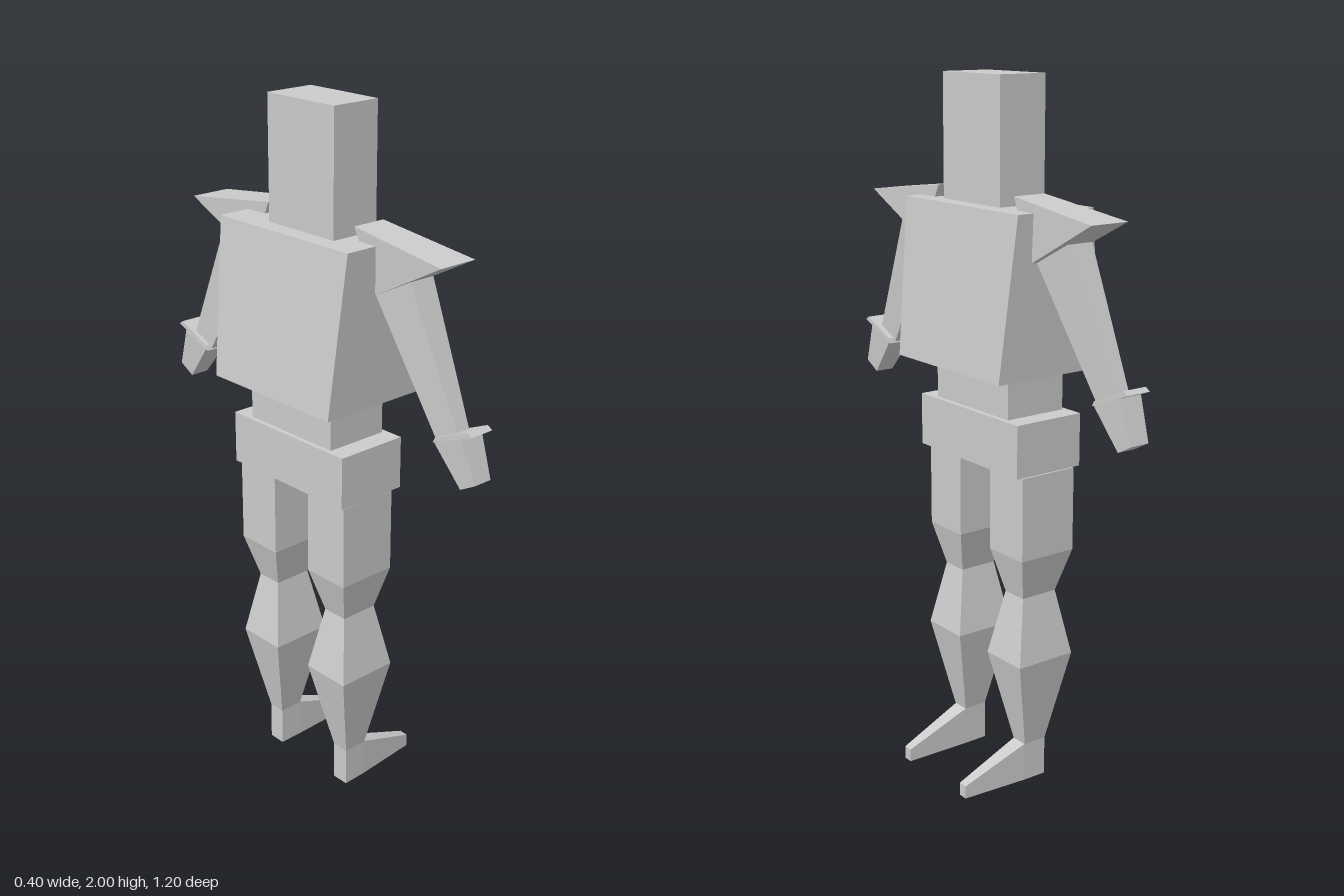
import * as THREE from 'three';

const material = new THREE.MeshStandardMaterial({ color: 0xcccccc, flatShading: true });

// Closed, flat-faced solid through equal-sized rings of [x, y, z] points
function loft(name, rings) {
  const tris = [];
  const n = rings[0].length;
  for (let r = 0; r < rings.length - 1; r++) {
    const a = rings[r], b = rings[r + 1];
    for (let i = 0; i < n; i++) {
      const j = (i + 1) % n;
      tris.push([a[i], a[j], b[j]], [a[i], b[j], b[i]]);
    }
  }
  const first = rings[0], last = rings[rings.length - 1];
  for (let i = 1; i < n - 1; i++) {
    tris.push([first[0], first[i + 1], first[i]], [last[0], last[i], last[i + 1]]);
  }
  // Turn all faces outwards, whichever way the rings run
  const o = new THREE.Vector3(...first[0]);
  let volume = 0;
  for (const t of tris) {
    const [a, b, c] = t.map((p) => new THREE.Vector3(...p).sub(o));
    volume += a.dot(b.cross(c));
  }
  if (volume < 0) tris.forEach((t) => t.reverse());
  const geometry = new THREE.BufferGeometry();
  geometry.setAttribute('position', new THREE.Float32BufferAttribute(tris.flat(2), 3));
  geometry.computeVertexNormals();
  const mesh = new THREE.Mesh(geometry, material);
  mesh.name = name;
  return mesh;
}

// Ring spanning x0..x1 and running from [z, y] point a to [z, y] point b
const slice = (x0, x1, [za, ya], [zb, yb]) => [[x0, ya, za], [x1, ya, za], [x1, yb, zb], [x0, yb, zb]];
// Horizontal ring
const level = (y, x0, x1, z0, z1) => slice(x0, x1, [z0, y], [z1, y]);
// Upright ring across the foot
const upright = (x, h, zBottom, halfBottom, halfTop) => [
  [x, 0, zBottom - halfBottom], [x, 0, zBottom + halfBottom],
  [x, h, zBottom + halfTop], [x, h, zBottom - halfTop],
];

function createSide(side, label) {
  const group = new THREE.Group();
  group.name = label + 'Limbs';
  const add = (name, rings) =>
    group.add(loft(label + name, rings.map((ring) => ring.map(([x, y, z]) => [x, y, 0.002 + side * z]))));

  // Leg: thigh, knee, calf and ankle
  add('Leg', [
    level(0.94, -0.13, 0.05, 0.07, 0.215),
    level(0.70, -0.13, 0.05, 0.07, 0.215),
    level(0.575, -0.095, 0.02, 0.103, 0.182),
    level(0.385, -0.13, 0.057, 0.067, 0.217),
    level(0.115, -0.073, 0, 0.118, 0.17),
  ]);

  // Wedge foot
  add('Foot', [
    upright(-0.073, 0.115, 0.144, 0.026, 0.026),
    upright(0, 0.115, 0.143, 0.025, 0.025),
    upright(0.2, 0.038, 0.138, 0.014, 0.014),
  ]);

  // Triangular shoulder pad
  const pad = (inner, tip, under) => [[inner, 1.695, 0.168], [tip, 1.655, 0.483], [under, 1.53, 0.245]];
  add('ShoulderPad', [pad(-0.055, -0.065, -0.05), pad(0.048, 0.056, 0.05)]);

  // Arm, tapering to the wrist
  add('Arm', [
    slice(-0.05, 0.032, [0.366, 1.592], [0.245, 1.53]),
    slice(-0.038, 0.006, [0.53, 1.235], [0.458, 1.197]),
  ]);

  // Thin cuff plate
  add('Cuff', [
    slice(-0.052, 0.023, [0.577, 1.255], [0.468, 1.207]),
    slice(-0.052, 0.023, [0.592, 1.245], [0.46, 1.192]),
  ]);

  // Hand
  add('Hand', [
    slice(-0.054, 0.023, [0.558, 1.232], [0.464, 1.198]),
    slice(-0.043, 0.014, [0.602, 1.115], [0.552, 1.088]),
  ]);
  return group;
}

export function createModel() {
  const model = new THREE.Group();
  model.name = 'figure';
  // Body, from the head down
  model.add(
    loft('head', [level(2, -0.1, 0.05, -0.11, 0.142), level(1.65, -0.1, 0.05, -0.11, 0.142)]),
    loft('torso', [level(1.66, -0.152, 0.1, -0.25, 0.25), level(1.217, -0.2, 0.146, -0.23, 0.23)]),
    loft('waist', [level(1.22, -0.13, 0.06, -0.16, 0.165), level(1.09, -0.13, 0.06, -0.16, 0.165)]),
    loft('hips', [level(1.095, -0.144, 0.075, -0.22, 0.224), level(0.945, -0.144, 0.075, -0.22, 0.224)]),
  );
  // The figure looks along +x, so its left is on -z
  model.add(createSide(-1, 'left'), createSide(1, 'right'));
  return model;
}
